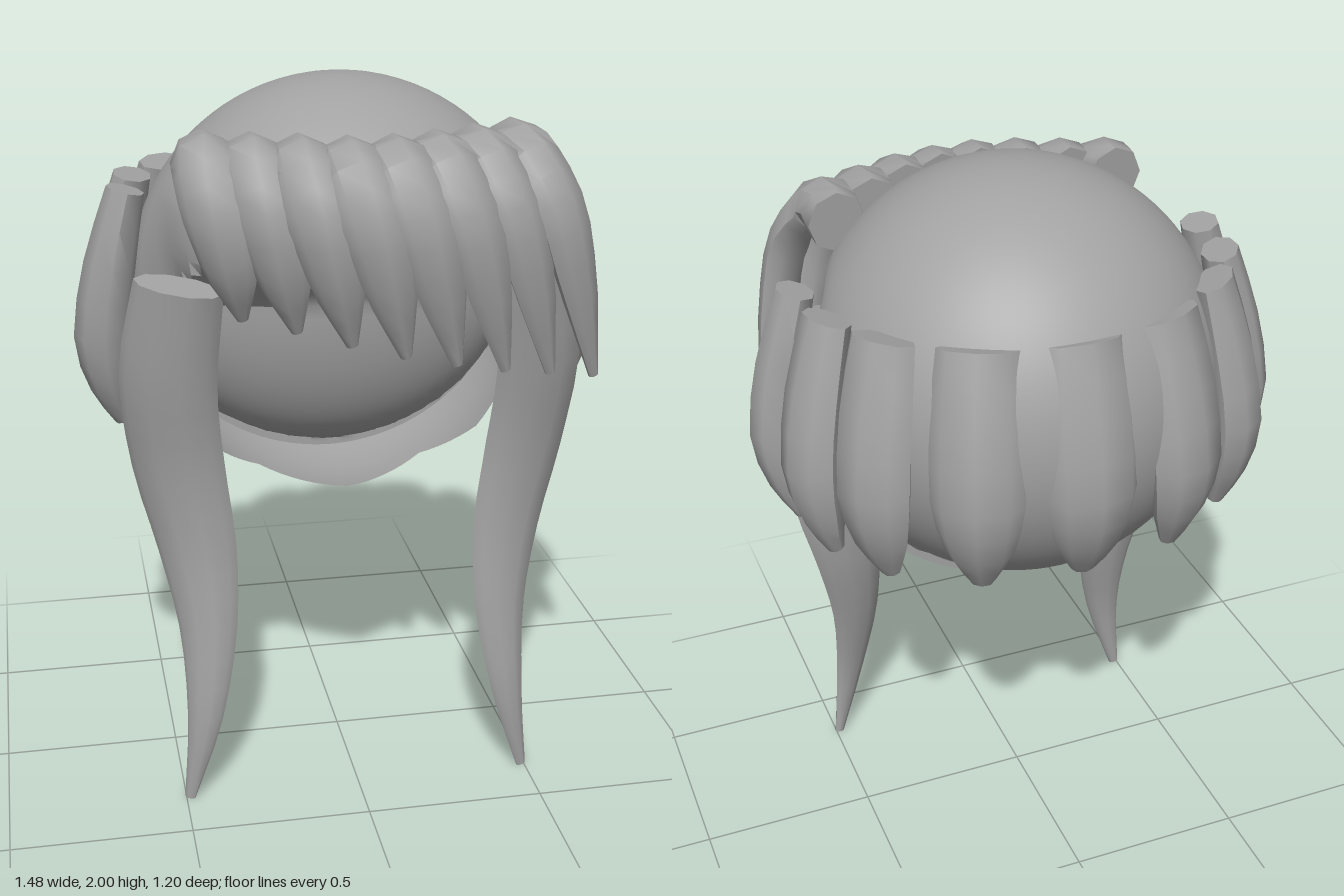
import * as THREE from 'three';
import { toCreasedNormals } from 'three/addons/utils/BufferGeometryUtils.js';

const hair = new THREE.MeshStandardMaterial({ color: 0xa2a2a2, side: THREE.DoubleSide });
hair.name = 'hair grey';

// Tapered lock: elliptical rings along a curve. Each station is [x, y, z, halfWidth, halfThickness].
function lockGeometry(stations, wide, segments = 10, sides = 10) {
  const path = new THREE.CatmullRomCurve3(stations.map(s => new THREE.Vector3(s[0], s[1], s[2])));
  const size = new THREE.CatmullRomCurve3(stations.map(s => new THREE.Vector3(s[3], s[4], 0)));
  const pos = [], idx = [];
  for (let i = 0; i <= segments; i++) {
    const t = i / segments;
    const c = path.getPoint(t), d = size.getPoint(t), T = path.getTangent(t);
    const S = wide.clone().addScaledVector(T, -wide.dot(T)).normalize();
    const N = new THREE.Vector3().crossVectors(T, S);
    for (let j = 0; j < sides; j++) {
      const a = j / sides * Math.PI * 2;
      const p = c.clone().addScaledVector(S, d.x * Math.cos(a)).addScaledVector(N, d.y * Math.sin(a));
      pos.push(p.x, p.y, p.z);
    }
  }
  for (let i = 0; i < segments; i++) {
    for (let j = 0; j < sides; j++) {
      const a = i * sides + j, b = i * sides + (j + 1) % sides;
      idx.push(a, b, a + sides, b, b + sides, a + sides);
    }
  }
  // end caps
  const last = segments * sides;
  for (let j = 1; j < sides - 1; j++) {
    idx.push(0, j + 1, j, last, last + j, last + j + 1);
  }
  const g = new THREE.BufferGeometry();
  g.setAttribute('position', new THREE.Float32BufferAttribute(pos, 3));
  g.setIndex(idx);
  return toCreasedNormals(g, 0.85);
}

function add(parent, name, geometry) {
  const m = new THREE.Mesh(geometry, hair);
  m.name = name;
  parent.add(m);
}

const R = 0.577, CY = 1.423, CZ = 0.03;

// Ball whose lower front is pushed back into a shallow, rounded face below a sloping brow
function scalpGeometry() {
  const g = new THREE.SphereGeometry(R, 64, 48).translate(0, CY, CZ);
  const p = g.attributes.position;
  for (let i = 0; i < p.count; i++) {
    const x = p.getX(i), y = p.getY(i), z = p.getZ(i);
    const bulge = Math.max(0, 1 - ((y - CY) / 0.52) ** 2 - (x / 0.55) ** 2);
    const brow = y > 1.41;
    const limit = brow ? 0.15 + (y - 1.42) * 1.4 : -0.14 + 0.28 * Math.sqrt(bulge);
    // the temples slope inward under the brow
    const inset = brow && y < 1.72 ? 0.2 * (1.72 - y) / 0.3 * THREE.MathUtils.smoothstep(z, 0.04, 0.2) : 0;
    p.setX(i, x * (1 - inset));
    p.setZ(i, Math.min(z, limit));
  }
  g.deleteAttribute('normal');
  g.deleteAttribute('uv');
  return toCreasedNormals(g, 0.6);
}

// Open strip of the ball round the lower face, with a ragged front edge
function rimGeometry() {
  const edge = [[0, 0.17], [24, 0.04], [42, 0.12], [52, 0.07], [59, 0.17], [70, 0.13], [91, 0.15]];
  const g = new THREE.PlaneGeometry(2, 1, 60, 6);
  const p = g.attributes.position;
  for (let i = 0; i < p.count; i++) {
    const a = p.getX(i) * 90, abs = Math.abs(a);
    const k = edge.findIndex(e => e[0] > abs);
    const [a0, z0] = edge[k - 1], [a1, z1] = edge[k];
    const front = z0 + (z1 - z0) * (abs - a0) / (a1 - a0);
    const z = THREE.MathUtils.lerp(-0.2, front, 0.5 - p.getY(i));
    const r = Math.sqrt((R + 0.002) ** 2 - (z - CZ) ** 2), t = THREE.MathUtils.degToRad(a);
    p.setXYZ(i, r * Math.sin(t), CY - r * Math.cos(t), z);
  }
  g.computeVertexNormals();
  return g;
}

export function createModel() {
  const model = new THREE.Group();
  model.name = 'hairstyle';
  add(model, 'scalp', scalpGeometry());
  add(model, 'faceRim', rimGeometry());

  // Short locks hanging round the sides and back, the side ones drifting backward
  const ring = new THREE.Group();
  ring.name = 'backLocks';
  model.add(ring);
  for (const deg of [-92, -71, -51, -26, 0, 26, 51, 71, 92]) {
    const a = THREE.MathUtils.degToRad(deg), sx = Math.sin(a), cz = Math.cos(a);
    const at = (out, y, w, t, drift) =>
      [sx * (0.545 + out), y, 0.07 - cz * (0.47 + out) - drift * Math.abs(sx), w, t];
    const k = 0.62 + 0.42 * cz;
    const wide = new THREE.Vector3(cz, 0, sx);
    add(ring, 'backLock', lockGeometry([
      at(0.04, 1.72, 0.105 * k, 0.052, 0),
      at(0.09, 1.52, 0.122 * k, 0.07, 0),
      at(0.118, 1.32, 0.122 * k, 0.077, 0.01),
      at(0.1, 1.17, 0.09 * k, 0.057, 0.025),
      at(0.07, 1.06, 0.032 * k, 0.022, 0.04),
    ], wide, 8, 8));
  }

  // Long locks framing the face
  for (const s of [1, -1]) {
    add(model, s > 0 ? 'leftLongLock' : 'rightLongLock', lockGeometry([
      [s * 0.475, 1.52, 0.34, 0.118, 0.06],
      [s * 0.507, 1.25, 0.29, 0.132, 0.06],
      [s * 0.485, 1.0, 0.255, 0.128, 0.055],
      [s * 0.44, 0.75, 0.26, 0.11, 0.048],
      [s * 0.42, 0.52, 0.295, 0.082, 0.038],
      [s * 0.44, 0.26, 0.335, 0.05, 0.024],
      [s * 0.49, 0.003, 0.335, 0.015, 0.01],
    ], new THREE.Vector3(1, 0, s * -0.3).normalize(), 18, 10));
  }

  // Swept fringe of overlapping locks
  const fringe = new THREE.Group();
  fringe.name = 'fringe';
  model.add(fringe);
  const rootZ = [0.26, 0.31, 0.35, 0.4, 0.4, 0.36, 0.3, 0.24];
  const frontZ = [0.43, 0.47, 0.52, 0.55, 0.55, 0.53, 0.49, 0.45];
  for (let i = 0; i < 8; i++) {
    const x = -0.4 + i * 0.117, f = frontZ[i], lean = i / 7;
    const turn = Math.atan2(x + 0.02, 0.75) + 0.1;
    const wide = new THREE.Vector3(Math.cos(turn), 0, -Math.sin(turn));
    add(fringe, 'fringeLock', lockGeometry([
      [x, 1.82, rootZ[i], 0.08, 0.085],
      [x + 0.005, 1.825, f - 0.08, 0.09, 0.075],
      [x + 0.02 + 0.05 * lean, 1.72, f, 0.09, 0.05],
      [x + 0.05 + 0.08 * lean, 1.57 - 0.05 * lean, f, 0.07, 0.04],
      [x + 0.08 + 0.12 * lean, 1.44 - 0.2 * lean, f - 0.03, 0.015, 0.012],
    ], wide, 10, 8));
  }
  return model;
}
